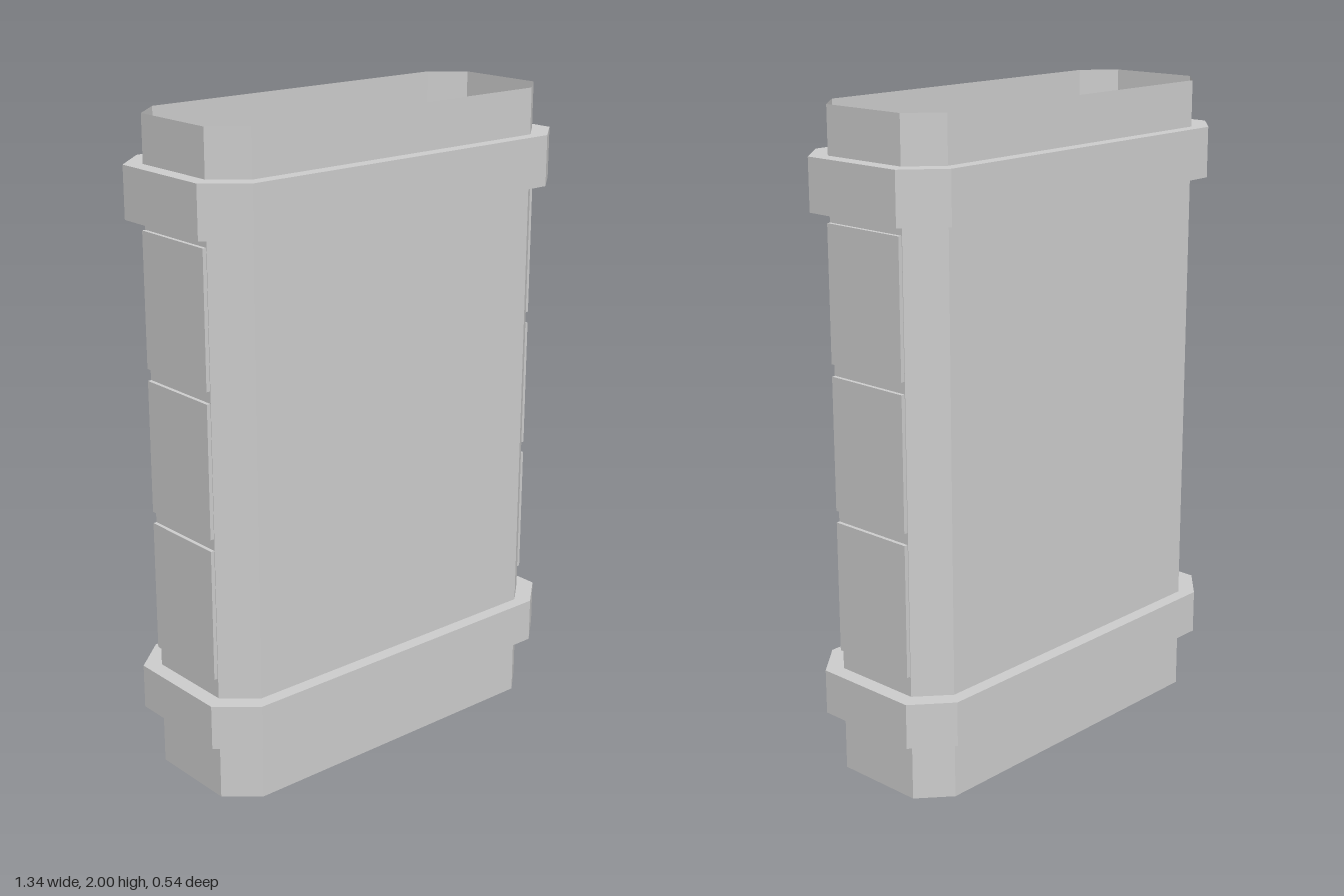
import * as THREE from 'three';

// Chamfered rectangle in plan: half width, half depth, and where the corner cuts begin
function outline(w, d, cw, cd) {
  return [[cw, -d], [w, -cd], [w, cd], [cw, d], [-cw, d], [-w, cd], [-w, -cd], [-cw, -d]];
}

// Solid slab of that plan between two heights
function slab(points, y0, y1) {
  const shape = new THREE.Shape(points.map(([x, z]) => new THREE.Vector2(x, -z)));
  const geometry = new THREE.ExtrudeGeometry(shape, { depth: y1 - y0, bevelEnabled: false });
  return geometry.rotateX(-Math.PI / 2).translate(0, y0, 0);
}

// Open-ended thin wall of that plan between two heights
function openWall(points, y0, y1) {
  const positions = [];
  points.forEach(([ax, az], i) => {
    const [bx, bz] = points[(i + 1) % points.length];
    positions.push(ax, y0, az, ax, y1, az, bx, y1, bz, ax, y0, az, bx, y1, bz, bx, y0, bz);
  });
  const geometry = new THREE.BufferGeometry();
  geometry.setAttribute('position', new THREE.Float32BufferAttribute(positions, 3));
  geometry.computeVertexNormals();
  return geometry;
}

export function createModel() {
  const group = new THREE.Group();
  const grey = new THREE.MeshStandardMaterial({ color: 0xcccccc, flatShading: true, side: THREE.DoubleSide });
  grey.name = 'plain grey';

  const add = (name, geometry) => {
    const mesh = new THREE.Mesh(geometry, grey);
    mesh.name = name;
    group.add(mesh);
    return mesh;
  };

  // Main casing, open at the top and bottom
  add('casing', openWall(outline(0.622, 0.226, 0.528, 0.144), 0, 2));

  // Collars, which also close the casing inside
  const collar = outline(0.67, 0.268, 0.558, 0.172);
  add('lowerCollar', slab(collar, 0.19, 0.328));
  add('upperCollar', slab(collar, 1.705, 1.86));

  // Three thin panels on each narrow side
  for (const side of [-1, 1]) {
    for (let i = 0; i < 3; i++) {
      const panel = add(side > 0 ? 'leftPanel' : 'rightPanel', new THREE.BoxGeometry(0.03, 0.404, 0.284));
      panel.position.set(side * 0.619, 0.593 + i * 0.44, 0);
    }
  }
  return group;
}
